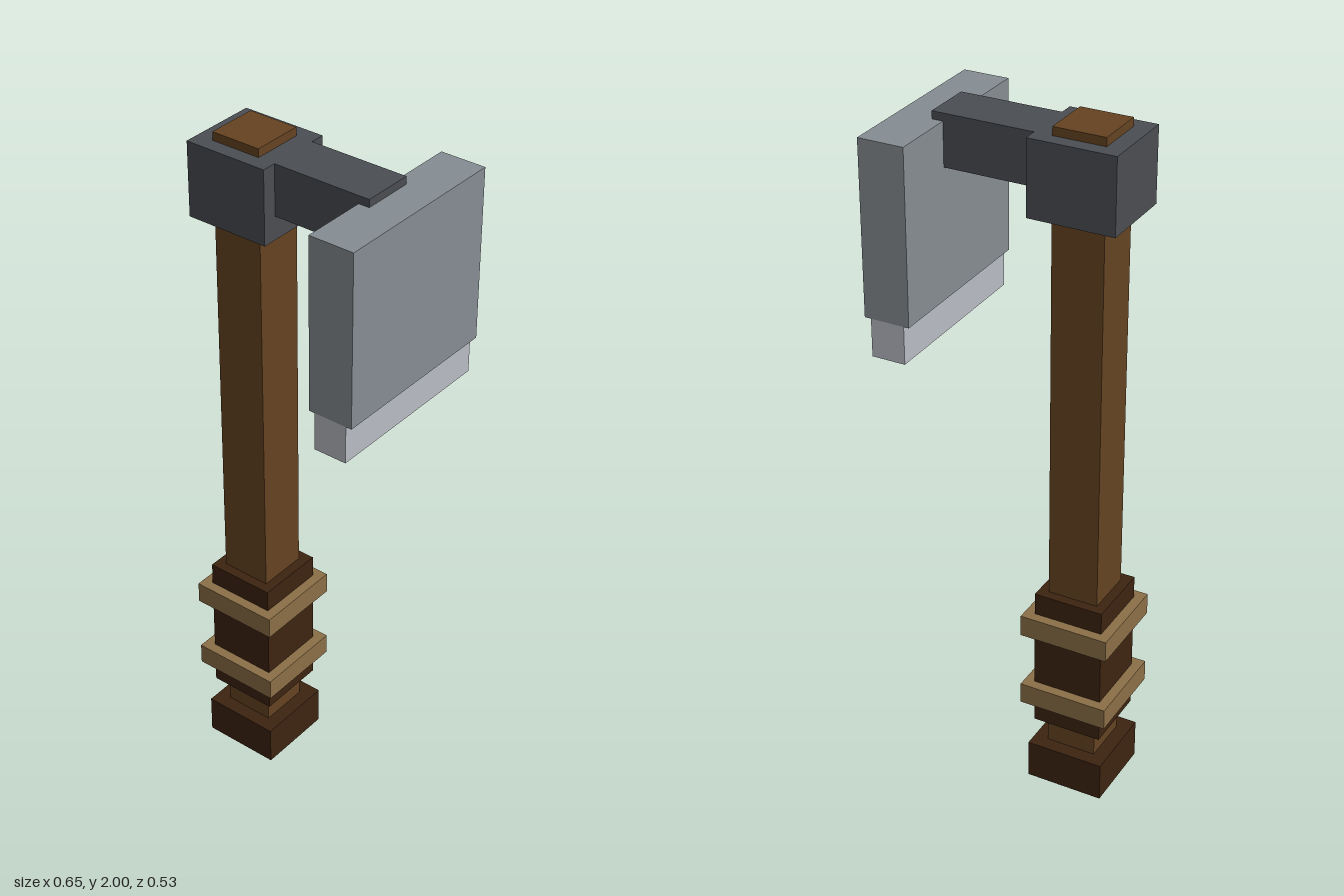
import * as THREE from 'three';

const material = (name, color) => {
  const m = new THREE.MeshStandardMaterial({ color });
  m.name = name;
  return m;
};

export function createModel() {
  const wood = material('wood', 0x654321);
  const darkLeather = material('dark leather', 0x3d2310);
  const binding = material('tan binding', 0x8b6f47);
  const iron = material('dark iron', 0x4a4d52);
  const steel = material('grey steel', 0x868d92);
  const sharpSteel = material('bright steel', 0xb9bcc4);

  const group = new THREE.Group();
  group.name = 'adze';

  // Box given by its x and y extents and its depth, centred on z = 0
  const addBox = (name, mat, x0, x1, y0, y1, depth) => {
    const mesh = new THREE.Mesh(new THREE.BoxGeometry(x1 - x0, y1 - y0, depth), mat);
    mesh.position.set((x0 + x1) / 2, (y0 + y1) / 2, 0);
    mesh.name = name;
    group.add(mesh);
  };

  // Square section stacked around the handle axis
  const axis = -0.192;
  const addSquare = (name, mat, width, y0, y1) =>
    addBox(name, mat, axis - width / 2, axis + width / 2, y0, y1, width);

  // Handle
  addSquare('shaft', wood, 0.148, 0, 2);
  addSquare('pommel', darkLeather, 0.23, 0.001, 0.118);
  addSquare('grip', darkLeather, 0.205, 0.2, 0.632);
  addSquare('lowerBinding', binding, 0.263, 0.27, 0.333);
  addSquare('upperBinding', binding, 0.263, 0.502, 0.566);

  // Head
  addBox('collar', iron, -0.315, -0.068, 1.763, 1.976, 0.231);
  addBox('arm', iron, -0.07, 0.222, 1.83, 1.976, 0.148);
  addBox('blade', steel, 0.19, 0.322, 1.46, 1.954, 0.53);
  addBox('cuttingEdge', sharpSteel, 0.206, 0.304, 1.35, 1.461, 0.528);

  return group;
}
